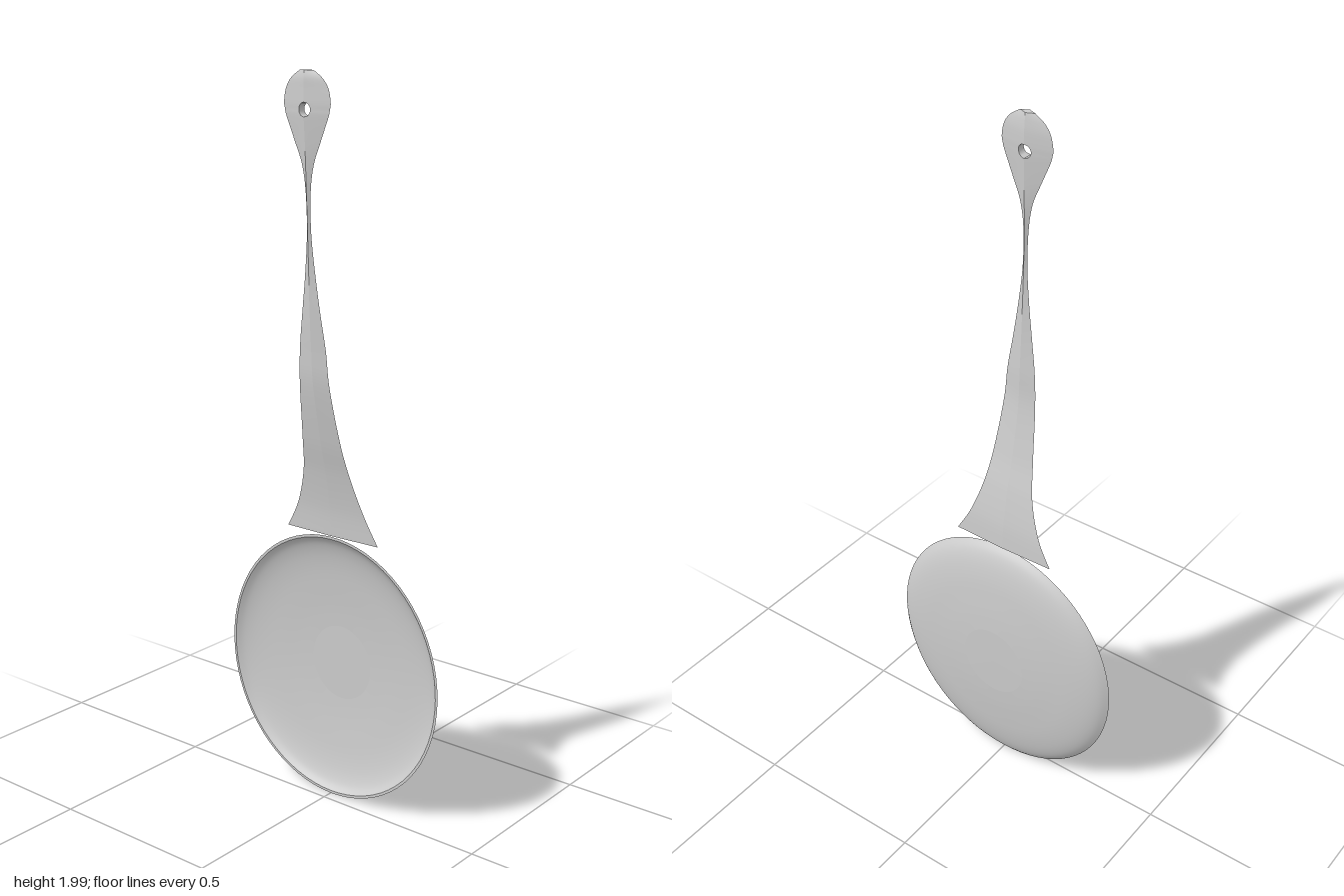
import * as THREE from 'three';
import { mergeGeometries } from 'three/addons/utils/BufferGeometryUtils.js';

const metal = new THREE.MeshStandardMaterial({ color: 0xcccccc });
metal.name = 'light grey metal';

// Handle stations: height, half width, centre z, half thickness
const STATIONS = [
  [0.772, 0.155, -0.034, 0.004], [0.85, 0.113, -0.028, 0.004], [0.95, 0.08, -0.011, 0.004],
  [1.05, 0.064, 0.012, 0.004], [1.2, 0.05, 0.039, 0.006], [1.3, 0.043, 0.046, 0.007],
  [1.4, 0.029, 0.052, 0.007], [1.5, 0.016, 0.056, 0.006], [1.6, 0.007, 0.06, 0.006],
  [1.7, 0.008, 0.063, 0.007], [1.77, 0.019, 0.064, 0.009], [1.83, 0.043, 0.065, 0.011],
  [1.887, 0.067, 0.066, 0.014], [1.905, 0.072, 0.066, 0.014], [1.923, 0.0745, 0.066, 0.014],
  [1.955, 0.068, 0.066, 0.013], [1.98, 0.051, 0.067, 0.012], [2.0, 0.022, 0.067, 0.01],
];
const HOLE_Y = 1.905, HOLE_R = 0.018, STEPS = 10;

function toGeometry(points, index) {
  const g = new THREE.BufferGeometry().setFromPoints(points);
  g.setIndex(index);
  g.computeVertexNormals();
  return g;
}

// Band between two matching rows of points
function strip(p, q) {
  const n = p.length, index = [];
  for (let i = 0; i < n - 1; i++) {
    if (p[i].distanceTo(q[i]) > 1e-6) index.push(i, n + i, i + 1);
    if (p[i + 1].distanceTo(q[i + 1]) > 1e-6) index.push(n + i, n + i + 1, i + 1);
  }
  return toGeometry([...p, ...q], index);
}

function handleGeometry() {
  const spline = (k) => new THREE.SplineCurve(STATIONS.map((s) => new THREE.Vector2(s[0], s[k])));
  const curves = [1, 2, 3].map(spline);
  const rows = [];
  const count = (STATIONS.length - 1) * STEPS;
  for (let i = 0; i <= count; i++) {
    const [w, z, t] = curves.map((c) => c.getPoint(i / count));
    rows.push({ y: w.x, w: w.y, z: z.y, t: t.y });
  }
  const parts = [];
  for (const side of [1, -1]) {
    const front = [], edge = [], back = [], wallFront = [], wallBack = [];
    for (const { y, w, z, t } of rows) {
      const d = HOLE_R ** 2 - (y - HOLE_Y) ** 2;
      const inner = d > 1e-7 ? Math.sqrt(d) : 0;
      const ti = t * (1 - inner / w);
      front.push(new THREE.Vector3(side * inner, y, z + ti));
      back.push(new THREE.Vector3(side * inner, y, z - ti));
      edge.push(new THREE.Vector3(side * w, y, z));
      if (d > -1e-5) {
        wallFront.push(front.at(-1));
        wallBack.push(back.at(-1));
      }
    }
    // ridged front, ridged back and the wall of the hanging hole
    for (const [p, q] of [[front, edge], [edge, back], [wallBack, wallFront]]) {
      parts.push(side > 0 ? strip(p, q) : strip(q, p));
    }
  }
  // diamond caps at both ends
  for (const [row, index] of [[rows.at(-1), [0, 1, 2, 0, 2, 3]], [rows[0], [0, 2, 1, 0, 3, 2]]]) {
    const { y, w, z, t } = row;
    parts.push(toGeometry([[w, z], [0, z - t], [-w, z], [0, z + t]]
      .map(([px, pz]) => new THREE.Vector3(px, y, pz)), index));
  }
  return mergeGeometries(parts);
}

// Dished disc: profiles of radius (0 to 1) and depth, turned to face the front
function bowlGeometry() {
  const outer = [[0.28, -0.082], [0.42, -0.079], [0.56, -0.0745], [0.7, -0.069],
    [0.81, -0.062], [0.89, -0.054], [0.95, -0.044], [1, -0.03]];
  const inner = [[0.98, -0.03], [0.935, -0.042], [0.875, -0.051], [0.8, -0.058],
    [0.7, -0.064], [0.56, -0.0695], [0.42, -0.074], [0.28, -0.077]];
  const curve = (pts) => new THREE.SplineCurve(pts.map((p) => new THREE.Vector2(...p))).getPoints(28);
  const line = (...pts) => pts.map((p) => new THREE.Vector2(...p));
  const profiles = [
    line([0, -0.0825], outer[0]), curve(outer),
    line(outer.at(-1), inner[0]),
    curve(inner), line(inner.at(-1), [0, -0.0772]),
  ];
  const parts = profiles.map((p) => {
    const g = new THREE.LatheGeometry(p, 72);
    g.rotateX(Math.PI / 2);
    g.scale(0.36, 0.382, 1);
    return g;
  });
  return mergeGeometries(parts).translate(0, 0.388, 0);
}

export function createModel() {
  const group = new THREE.Group();
  group.name = 'spoon';
  const add = (name, geometry) => {
    const mesh = new THREE.Mesh(geometry, metal);
    mesh.name = name;
    group.add(mesh);
  };
  add('bowl', bowlGeometry());
  add('handle', handleGeometry());
  return group;
}
